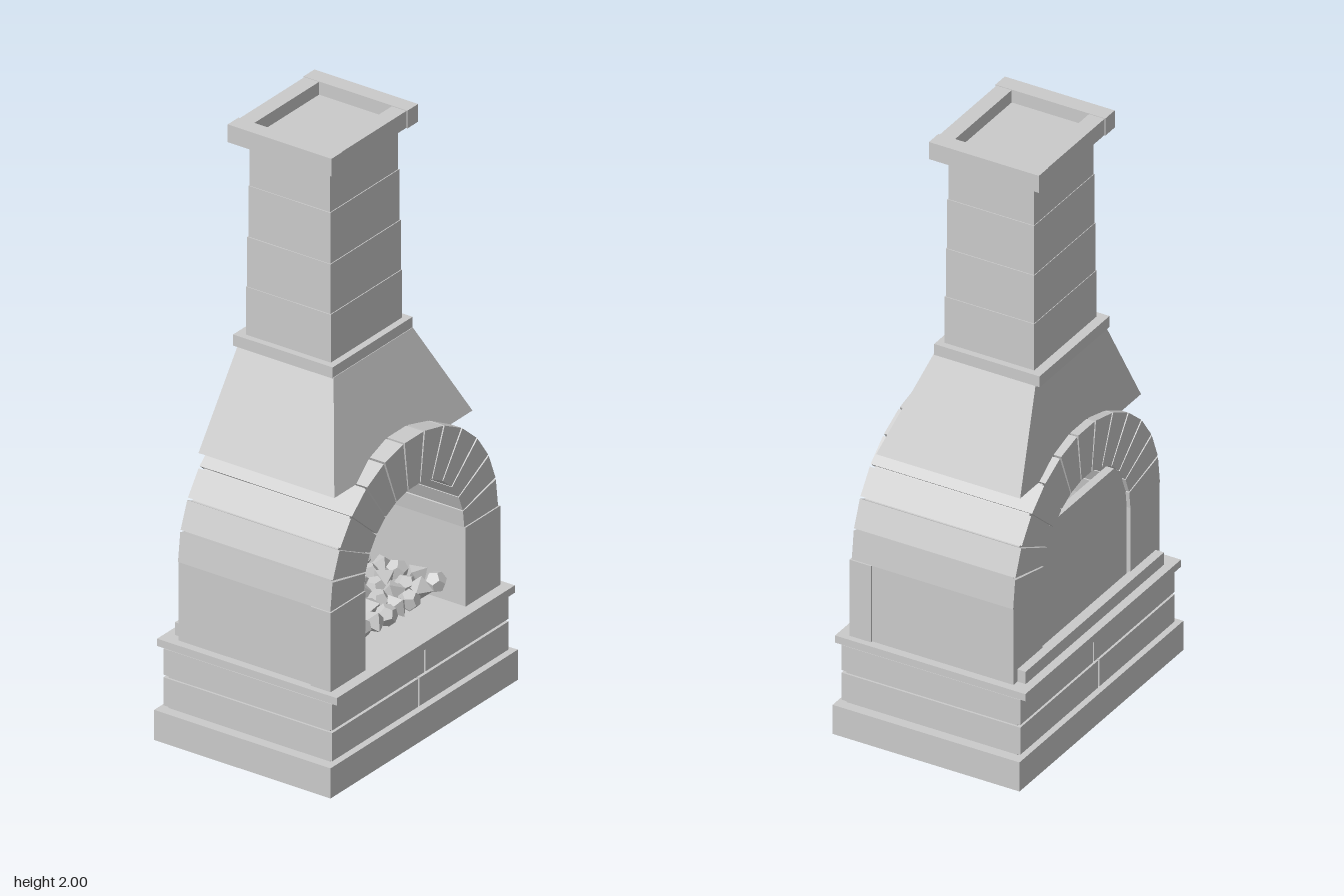
import * as THREE from 'three';

const stone = new THREE.MeshStandardMaterial({ color: 0xcbcbcb });
stone.name = 'pale stone';

export function createModel() {
  const model = new THREE.Group();
  model.name = 'masonryFireplace';

  const add = (name, geometry) => {
    const mesh = new THREE.Mesh(geometry, stone);
    mesh.name = name;
    model.add(mesh);
    return mesh;
  };
  // Box given by its limits on each axis
  const block = (name, x0, x1, y0, y1, z0, z1) => {
    const g = new THREE.BoxGeometry(x1 - x0, y1 - y0, z1 - z0);
    g.translate((x0 + x1) / 2, (y0 + y1) / 2, (z0 + z1) / 2);
    return add(name, g);
  };
  // Outline in x and y, extruded from z0 to z1
  const slab = (name, points, z0, z1) => {
    const shape = new THREE.Shape(points.map(([x, y]) => new THREE.Vector2(x, y)));
    const g = new THREE.ExtrudeGeometry(shape, { depth: z1 - z0, bevelEnabled: false });
    g.translate(0, 0, z0);
    return add(name, g);
  };

  // Plinth: footing, two split courses around a core, and the hearth plate
  block('footing', -0.48, 0.48, 0, 0.102, -0.327, 0.327);
  block('plinthCore', -0.445, 0.445, 0.1, 0.31, -0.3, 0.3);
  for (const [y0, y1, split] of [[0.11, 0.205, -0.008], [0.214, 0.302, 0.023]]) {
    block('plinthBlock', -0.452, split - 0.004, y0, y1, -0.313, 0.313);
    block('plinthBlock', split + 0.004, 0.452, y0, y1, -0.313, 0.313);
  }
  block('hearthPlate', -0.456, 0.456, 0.306, 0.331, -0.333, 0.333);
  block('rearLedge', -0.405, 0.405, 0.331, 0.374, -0.304, -0.27);

  // Side walls with slightly proud front pillars
  const back = -0.275, front = 0.29, spring = 0.597;
  for (const s of [-1, 1]) {
    const [a, b, c] = [0.257 * s, 0.428 * s, 0.435 * s];
    block('sideWall', Math.min(a, b), Math.max(a, b), 0.331, spring, back, front);
    block('frontPillar', Math.min(a, c), Math.max(a, c), 0.331, 0.598, 0.22, 0.295);
  }

  // Arch: thirteen wedge stones over a recessed mortar ring
  const polar = (rx, ry, t) => [rx * Math.cos(t), spring + ry * Math.sin(t)];
  const count = 13, step = Math.PI / count;
  const outerArc = [], innerArc = [];
  for (let i = 0; i <= count; i++) {
    outerArc.push(polar(0.42, 0.405, i * step));
    innerArc.unshift(polar(0.266, 0.256, i * step));
  }
  slab('archMortar', [...outerArc, ...innerArc], back + 0.012, front - 0.012);
  for (let i = 0; i < count; i++) {
    const t0 = i * step + (i ? 0.009 : 0);
    const t1 = (i + 1) * step - (i < count - 1 ? 0.009 : 0);
    slab('archStone', [
      polar(0.43, 0.415, t0), polar(0.43, 0.415, t1),
      polar(0.257, 0.248, t1), polar(0.257, 0.248, t0),
    ], back, front);
  }

  // Back panel, leaving a vent under the crown of the arch
  const panelTop = 0.77, t = Math.asin((panelTop - spring) / 0.252);
  const panel = [[-0.26, 0.331], [0.26, 0.331]];
  for (let i = 0; i <= 5; i++) panel.push(polar(0.262, 0.252, t * i / 5));
  for (let i = 5; i >= 0; i--) panel.push(polar(0.262, 0.252, Math.PI - t * i / 5));
  slab('backPanel', panel, -0.262, -0.235);

  // Hood: a box whose top corners are drawn in
  const hood = new THREE.BoxGeometry(1, 1, 1).toNonIndexed();
  const p = hood.attributes.position;
  for (let i = 0; i < p.count; i++) {
    const top = p.getY(i) > 0, x = Math.sign(p.getX(i)), z = p.getZ(i);
    p.setXYZ(i, x * (top ? 0.203 : 0.354), top ? 1.25 : 0.94,
      z > 0 ? (top ? 0.138 : 0.25) : (top ? -0.218 : -0.254));
  }
  hood.computeVertexNormals();
  add('hood', hood);
  block('hoodCollar', -0.205, 0.205, 1.247, 1.285, -0.233, 0.136);

  // Chimney courses, each a little narrower than the one below
  const levels = [1.285, 1.447, 1.615, 1.787, 1.955];
  for (let i = 0; i < 4; i++) {
    const w = 0.183 - i * 0.003;
    block('chimneyCourse', -w, w, levels[i], levels[i + 1],
      -0.201 + i * 0.002, 0.113 - i * 0.003);
  }

  // Cap: two side bars with front and rear bars between them
  for (const s of [-1, 1]) {
    block('capSideBar', s > 0 ? 0.167 : -0.222, s > 0 ? 0.222 : -0.167, 1.94, 2, -0.241, 0.144);
  }
  block('capFrontBar', -0.167, 0.167, 1.941, 1.998, 0.087, 0.14);
  block('capRearBar', -0.167, 0.167, 1.941, 1.998, -0.238, -0.184);

  // Bed of faceted coals
  let seed = 7;
  const rand = () => (seed = (seed * 16807) % 2147483647) / 2147483647;
  const coals = new THREE.Group();
  coals.name = 'coalBed';
  model.add(coals);
  const coalShape = new THREE.DodecahedronGeometry(0.036, 0);
  const coalPoint = new THREE.OctahedronGeometry(0.042, 0);
  for (let row = 0; row < 7; row++) {
    for (let col = 0; col < 8; col++) {
      const coal = new THREE.Mesh((row + col) % 2 ? coalShape : coalPoint, stone);
      coal.name = 'coal';
      coal.position.set(-0.22 + col * 0.063 + (rand() - 0.5) * 0.015,
        0.4 + (rand() - 0.5) * 0.012, -0.19 + row * 0.065 + (rand() - 0.5) * 0.02);
      coal.rotation.set(rand() * 0.8, rand() * 3, rand() * 0.8);
      coals.add(coal);
    }
  }
  return model;
}
